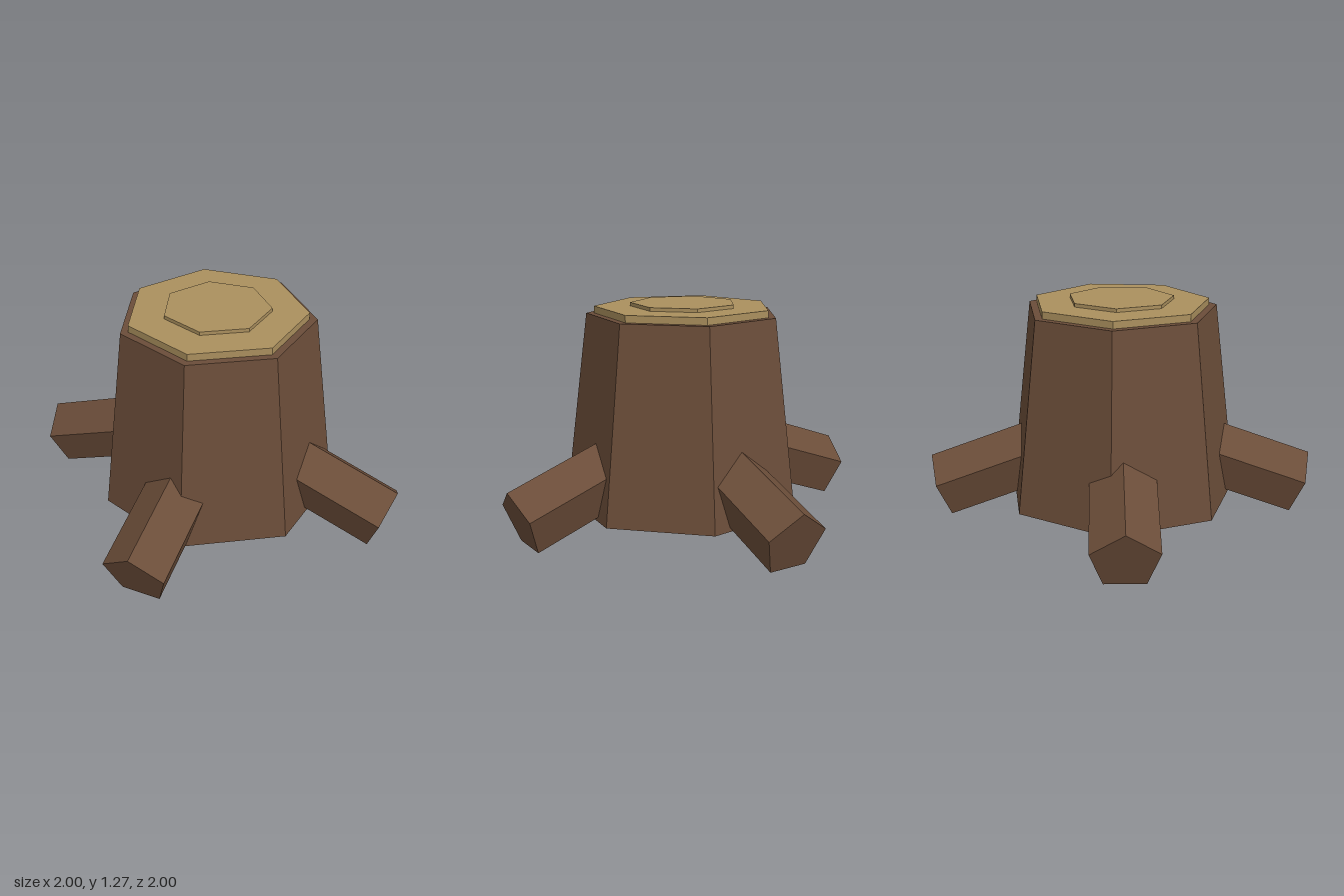
import * as THREE from 'three';

const bark = new THREE.MeshStandardMaterial({ color: 0x6b4d39 });
bark.name = 'bark brown';
const wood = new THREE.MeshStandardMaterial({ color: 0xab905e });
wood.name = 'cut wood tan';

// Faceted prism with hard edges
function prism(rTop, rBottom, height, sides) {
  const g = new THREE.CylinderGeometry(rTop, rBottom, height, sides).rotateY(Math.PI).toNonIndexed();
  g.computeVertexNormals();
  return g;
}

export function createModel() {
  const model = new THREE.Group();
  model.name = 'treeStump';

  // Upright seven-sided layers: trunk, cut face, inner ring
  const layers = [
    ['trunk', 0.555, 0.69, 0.11, 1.21, bark],
    ['cutFace', 0.51, 0.51, 1.2, 1.25, wood],
    ['innerRing', 0.305, 0.305, 1.24, 1.27, wood],
  ];
  for (const [name, rTop, rBottom, y0, y1, material] of layers) {
    const mesh = new THREE.Mesh(prism(rTop, rBottom, y1 - y0, 7), material);
    mesh.name = name;
    mesh.position.y = (y0 + y1) / 2;
    model.add(mesh);
  }

  // Four five-sided roots sloping down and outward
  const length = 0.75;
  const rootGeometry = prism(0.192, 0.192, length, 5)
    .rotateX(Math.PI / 2)
    .translate(0, 0, -length / 2)
    .rotateX(THREE.MathUtils.degToRad(20))
    .translate(0, 0.147, 1.05);
  for (let i = 0; i < 4; i++) {
    const root = new THREE.Mesh(rootGeometry, bark);
    root.name = `root${i + 1}`;
    root.rotation.y = THREE.MathUtils.degToRad(57.2 + i * 90);
    model.add(root);
  }
  return model;
}
